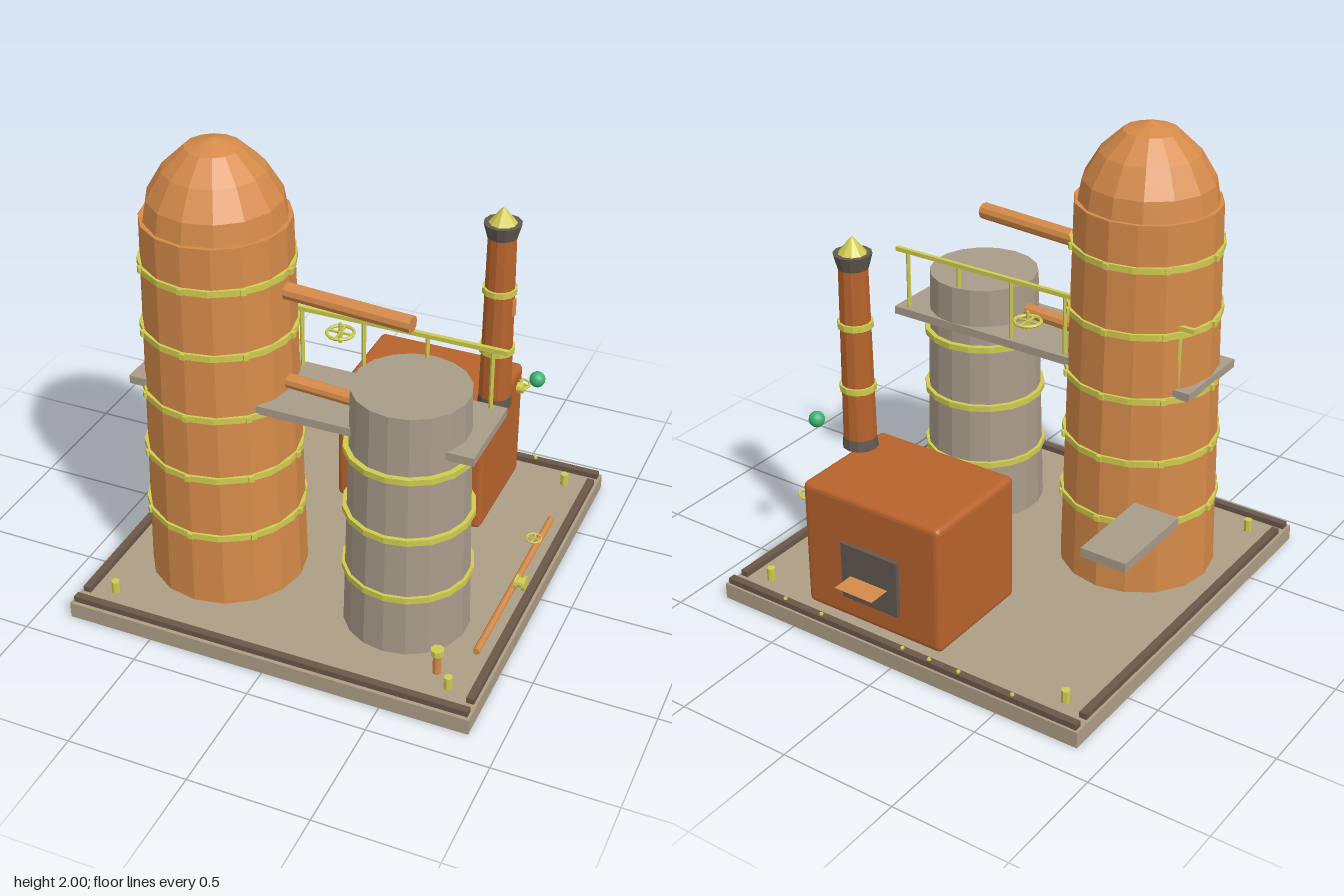
import * as THREE from 'three';
import { RoundedBoxGeometry } from 'three/addons/geometries/RoundedBoxGeometry.js';

export function createModel() {
  const root = new THREE.Group();
  root.name = 'distillery';
  const mat = (name, color, flat = true) => {
    const m = new THREE.MeshStandardMaterial({ color, flatShading: flat });
    m.name = name;
    return m;
  };
  const copper = mat('copper', 0xd58a49);
  copper.side = THREE.DoubleSide;
  const rust = mat('rust', 0xb8632c);
  const stone = mat('stone', 0xac9d85);
  const steel = mat('steel', 0xa89b89);
  const brass = mat('brass', 0xcfcb50);
  const trim = mat('darkTrim', 0x6a5849);
  const iron = mat('iron', 0x625950);
  const green = mat('green', 0x3bb074, false);

  const add = (name, geo, material, x, y, z, parent = root) => {
    const m = new THREE.Mesh(geo, material);
    m.name = name;
    m.position.set(x, y, z);
    parent.add(m);
    return m;
  };
  // Box from min and max corners
  const box = (name, material, x0, x1, y0, y1, z0, z1) =>
    add(name, new THREE.BoxGeometry(x1 - x0, y1 - y0, z1 - z0), material,
      (x0 + x1) / 2, (y0 + y1) / 2, (z0 + z1) / 2);
  // Upright cylinder from y0 to y1
  const post = (name, material, x, z, y0, y1, rBottom, rTop = rBottom, sides = 8) =>
    add(name, new THREE.CylinderGeometry(rTop, rBottom, y1 - y0, sides), material, x, (y0 + y1) / 2, z);
  // Straight pipe between two points
  const pipe = (name, material, a, b, r, sides = 10) => {
    const p = new THREE.Vector3(...a), q = new THREE.Vector3(...b);
    const d = q.clone().sub(p);
    const mid = p.clone().add(q).multiplyScalar(0.5);
    const m = add(name, new THREE.CylinderGeometry(r, r, d.length(), sides), material, mid.x, mid.y, mid.z);
    m.quaternion.setFromUnitVectors(new THREE.Vector3(0, 1, 0), d.normalize());
  };
  // Flat band around a vessel
  const band = (name, x, y, z, inner, outer, h, sides = 16) => {
    const pts = [[inner, -h], [outer, -h], [outer, h], [inner, h], [inner, -h]].map(p => new THREE.Vector2(...p));
    add(name, new THREE.LatheGeometry(pts, sides), brass, x, y, z);
  };
  // Horizontal hand wheel with spokes and stem
  const handWheel = (name, x, y, z, r, stem) => {
    const g = new THREE.Group();
    g.name = name;
    g.position.set(x, y, z);
    root.add(g);
    add('rim', new THREE.TorusGeometry(r, r * 0.13, 6, 16), brass, 0, 0, 0, g).rotation.x = Math.PI / 2;
    for (const a of [0, Math.PI / 2])
      add('spoke', new THREE.BoxGeometry(r * 2, r * 0.15, r * 0.15), brass, 0, 0, 0, g).rotation.y = a;
    add('stem', new THREE.CylinderGeometry(r * 0.13, r * 0.13, stem, 6), brass, 0, 0, 0, g);
    add('hub', new THREE.CylinderGeometry(r * 0.25, r * 0.25, r * 0.3, 8), brass, 0, 0, 0, g);
  };

  // Base slab, curbs and bolts
  box('base', stone, -0.866, 0.866, 0, 0.07, -0.864, 0.87);
  for (const s of [-1, 1]) {
    box('curb', trim, -0.855, 0.855, 0.07, 0.095, s * 0.838 - 0.016, s * 0.838 + 0.016);
    box('curb', trim, s * 0.838 - 0.016, s * 0.838 + 0.016, 0.07, 0.095, -0.78, 0.78);
    for (const t of [-1, 1]) post('baseBolt', brass, s * 0.73, t * 0.73, 0.07, 0.125, 0.018);
  }
  for (const x of [-0.56, -0.31, -0.17, -0.04, 0.37, 0.56])
    post('curbRivet', brass, x, -0.838, 0.09, 0.102, 0.01, 0.008, 6);

  // Main still with dome and bolted bands
  const TX = -0.41, TZ = 0.32;
  post('stillBody', copper, TX, TZ, 0.07, 1.685, 0.328, 0.295, 16);
  const dome = [[0.28, 0], [0.265, 0.085], [0.2, 0.195], [0.11, 0.28], [0, 0.315]];
  add('stillDome', new THREE.LatheGeometry(dome.map(p => new THREE.Vector2(...p)), 14), copper, TX, 1.685, TZ);
  for (let i = 0; i < 5; i++) {
    const y = 0.398 + i * 0.277;
    const r = 0.322 - 0.0204 * (y - 0.07);
    band('stillBand', TX, y, TZ, r - 0.02, r + 0.016, 0.013, 18);
    for (let k = 0; k < 8; k++) {
      const a = k * Math.PI / 4;
      const bolt = add('bandBolt', new THREE.BoxGeometry(0.022, 0.024, 0.022), brass,
        TX + Math.sin(a) * (r + 0.012), y, TZ + Math.cos(a) * (r + 0.012));
      bolt.rotation.y = a;
    }
  }

  // Condenser tank
  const CX = 0.417, CZ = 0.375;
  post('tank', steel, CX, CZ, 0.07, 1.158, 0.259, 0.233, 18);
  for (const y of [0.34, 0.617, 0.895]) band('tankBand', CX, y, CZ, 0.23, 0.268 - 0.008 * y, 0.013, 18);

  // Pipes leaving the still
  pipe('vapourPipe', copper, [-0.2, 1.425, 0.325], [0.417, 1.425, 0.378], 0.035);
  pipe('returnPipe', copper, [-0.2, 1.03, 0.335], [0.3, 1.03, 0.372], 0.03);

  // Walkway, railing and side step
  box('walkway', steel, -0.725, 0.72, 0.96, 0.995, 0.137, 0.51);
  box('sideStep', steel, -0.795, -0.595, 0.505, 0.545, -0.43, -0.03);
  box('handrail', brass, -0.725, 0.72, 1.247, 1.265, 0.154, 0.172);
  for (let i = 0; i < 6; i++) post('railPost', brass, -0.66 + i * 0.264, 0.163, 0.99, 1.25, 0.009, 0.009, 6);
  handWheel('walkwayValve', 0, 1.135, 0.09, 0.055, 0.09);

  // Firebox, door and ledge
  const fire = add('firebox', new RoundedBoxGeometry(0.67, 0.565, 0.51, 2, 0.025), rust, 0.165, 0.3525, -0.508);
  fire.geometry.computeVertexNormals();
  box('fireDoor', iron, 0.025, 0.3, 0.18, 0.43, -0.782, -0.755);
  add('doorLedge', new THREE.PlaneGeometry(0.185, 0.1), copper, 0.163, 0.29, -0.831).rotation.x = -Math.PI / 2;

  // Chimney
  const HX = 0.49, HZ = -0.403;
  post('chimney', rust, HX, HZ, 0.64, 1.44, 0.07, 0.06, 12);
  post('chimneyFoot', iron, HX, HZ, 0.64, 0.715, 0.075, 0.066, 12);
  post('chimneyCrown', iron, HX, HZ, 1.43, 1.492, 0.062, 0.079, 12);
  post('chimneyTip', brass, HX, HZ, 1.49, 1.563, 0.06, 0, 10);
  band('chimneyBand', HX, 1.19, HZ, 0.055, 0.073, 0.013, 12);
  band('chimneyBand', HX, 0.912, HZ, 0.058, 0.076, 0.013, 12);
  post('whistle', copper, HX + 0.06, HZ, 1.08, 1.155, 0.013);

  // Firebox valve and green float
  handWheel('fireboxValve', 0.503, 0.553, -0.715, 0.042, 0.04);
  pipe('valveBody', brass, [0.48, 0.55, -0.69], [0.53, 0.55, -0.69], 0.024);
  add('float', new THREE.SphereGeometry(0.034, 14, 10), green, 0.647, 0.745, -0.487);

  // Ground pipe, its valves and the corner drain
  pipe('groundPipe', copper, [0.78, 0.132, -0.38], [0.78, 0.132, 0.56], 0.014);
  handWheel('pipeValve', 0.78, 0.198, -0.135, 0.032, 0.045);
  pipe('gauge', brass, [0.8, 0.178, 0.14], [0.84, 0.178, 0.14], 0.022);
  for (const x of [0.803, 0.835]) pipe('gaugeRim', brass, [x - 0.006, 0.178, 0.14], [x + 0.006, 0.178, 0.14], 0.031, 12);
  post('drain', copper, 0.658, 0.663, 0.07, 0.16, 0.018);
  post('drainCap', brass, 0.658, 0.663, 0.16, 0.186, 0.027);

  return root;
}
